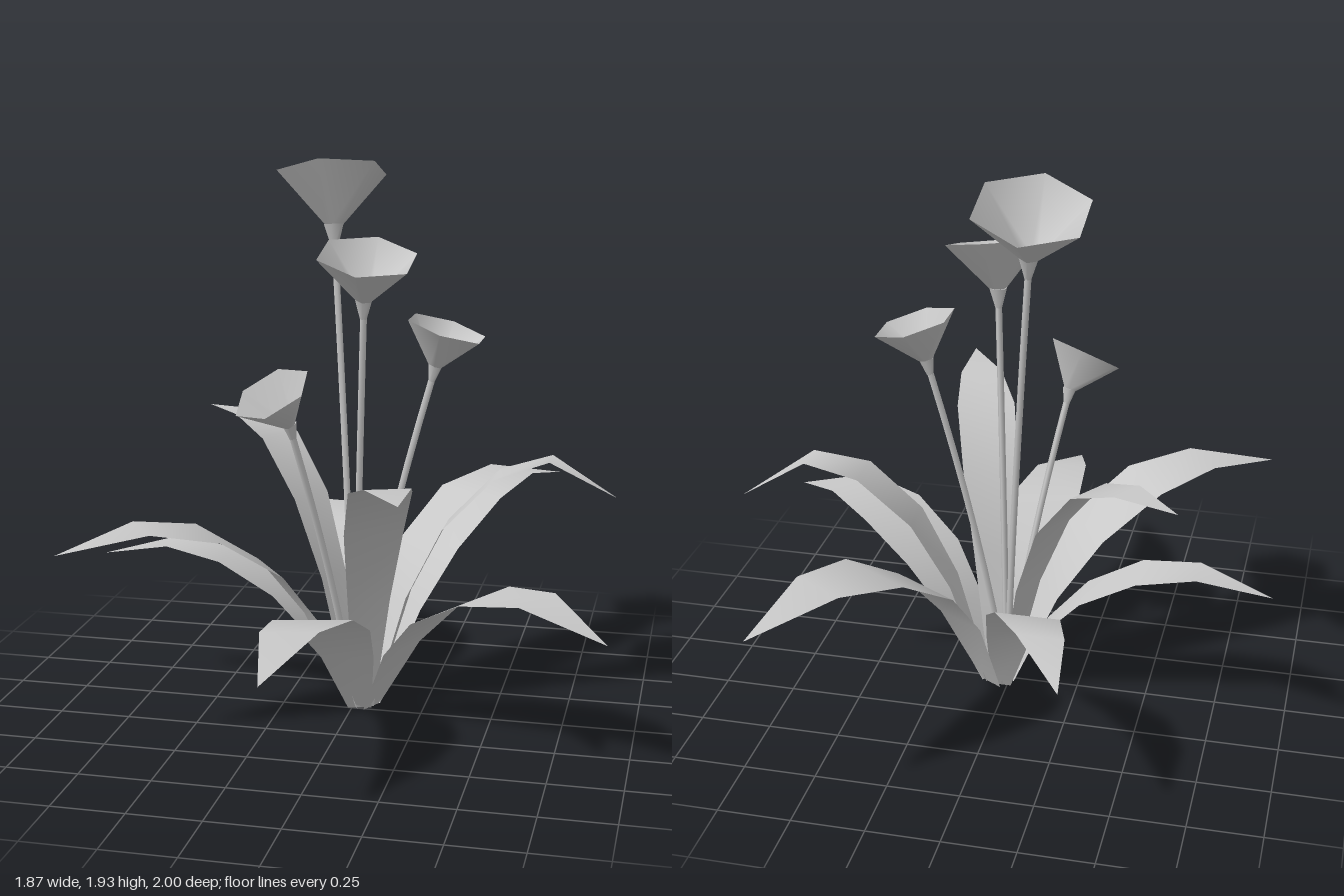
import * as THREE from 'three';

const plantGrey = new THREE.MeshStandardMaterial({ color: 0xc8c8c8, side: THREE.DoubleSide });
plantGrey.name = 'plantGrey';

const CENTRE = new THREE.Vector3(0.035, 0, -0.03);
const UP = new THREE.Vector3(0, 1, 0);

// Shared leaf shape: distance along, height (of peak) and width (of widest) per station
const ALONG = [0, 0.14, 0.29, 0.5, 0.72, 1];
const RISE = [0.01, 0.46, 0.74, 0.94, 1];
const WIDTH = [0.32, 0.7, 0.95, 1, 0.72, 0];

// Tip x, y, z; peak height; widest width; optional heading across which the blade is spread
const LEAVES = [
  { tip: [0.62, 0.65, -1.0], peak: 0.72, width: 0.28 },
  { tip: [-0.35, 0.52, -0.88], peak: 0.58, width: 0.22, heading: [0, -1] },
  { tip: [-0.65, 0.975, -0.48], peak: 0.98, width: 0.17 },
  { tip: [-0.94, 0.49, -0.08], peak: 0.555, width: 0.19, heading: [-1, 0] },
  { tip: [-0.86, 0.69, 0.61], peak: 0.75, width: 0.26 },
  { tip: [-0.07, 0.45, 1.0], peak: 0.53, width: 0.26, heading: [0.2, 0.98] },
  { tip: [0.31, 0.97, 0.77], peak: 0.965, width: 0.21 },
  { tip: [0.93, 0.47, 0.47], peak: 0.56, width: 0.28 },
  { tip: [0.9, 0.76, -0.24], peak: 0.905, width: 0.16, heading: [1, 0] },
];

// Throat of the bloom, middle of its rim, rim radius
const FLOWERS = [
  { throat: [-0.11, 1.69, -0.21], rim: [-0.13, 1.87, -0.27], radius: 0.2 },
  { throat: [0.055, 1.475, 0.065], rim: [0.075, 1.63, 0.107], radius: 0.175 },
  { throat: [0.28, 1.24, -0.04], rim: [0.32, 1.375, -0.04], radius: 0.145 },
  { throat: [-0.165, 1.07, 0.21], rim: [-0.212, 1.19, 0.268], radius: 0.14 },
];

function addMesh(parent, geometry, name) {
  const mesh = new THREE.Mesh(geometry, plantGrey);
  mesh.name = name;
  parent.add(mesh);
  return mesh;
}

// Flat arching blade, two points per station
function leafGeometry({ tip, peak, width, heading }) {
  const end = new THREE.Vector3(...tip);
  const dir = end.clone().sub(CENTRE).setY(0).normalize();
  const root = CENTRE.clone().addScaledVector(dir, 0.04);
  const across = heading ? new THREE.Vector3(heading[0], 0, heading[1]) : dir;
  const side = across.clone().normalize().cross(UP);
  const points = [];
  const index = [];
  ALONG.forEach((t, i) => {
    const mid = root.clone().lerp(end, t);
    mid.y = i < RISE.length ? RISE[i] * peak : tip[1];
    for (const s of [-0.5, 0.5]) {
      points.push(...mid.clone().addScaledVector(side, s * width * WIDTH[i]).toArray());
    }
    if (i > 0) {
      const a = 2 * i - 2;
      index.push(a, a + 1, a + 2);
      if (i < ALONG.length - 1) index.push(a + 1, a + 3, a + 2);
    }
  });
  const geometry = new THREE.BufferGeometry();
  geometry.setAttribute('position', new THREE.Float32BufferAttribute(points, 3));
  geometry.setIndex(index);
  geometry.computeVertexNormals();
  return geometry;
}

// Six-sided open bloom on a small calyx and a thin bowed stem
function createFlower({ throat, rim, radius }) {
  const flower = new THREE.Group();
  flower.name = 'flower';
  const base = new THREE.Vector3(...throat);
  const axis = new THREE.Vector3(...rim).sub(base);
  const depth = axis.length();
  axis.normalize();

  const head = new THREE.Group();
  head.name = 'flowerHead';
  head.position.copy(base);
  head.quaternion.setFromUnitVectors(UP, axis);
  flower.add(head);
  const bloom = new THREE.CylinderGeometry(radius, radius * 0.14, depth, 6, 1, true);
  addMesh(head, bloom.translate(0, depth / 2, 0), 'bloom');

  // Calyx follows the stem direction more than the bloom's tilt
  const foot = new THREE.Vector3(0.005, 0, -0.03);
  const calyxAxis = base.clone().sub(foot).normalize();
  const length = radius * 0.4;
  const calyx = addMesh(flower, new THREE.CylinderGeometry(radius * 0.18, 0.012, length, 6), 'calyx');
  calyx.position.copy(base).addScaledVector(calyxAxis, -length / 2 + 0.008);
  calyx.quaternion.setFromUnitVectors(UP, calyxAxis);

  const top = base.clone().addScaledVector(calyxAxis, -length + 0.012);
  const bend = foot.clone().lerp(top, 0.3).setY(top.y * 0.45);
  const path = new THREE.QuadraticBezierCurve3(foot, bend, top);
  addMesh(flower, new THREE.TubeGeometry(path, 8, 0.012, 5), 'stem');
  return flower;
}

export function createModel() {
  const plant = new THREE.Group();
  plant.name = 'floweringPlant';

  const leaves = new THREE.Group();
  leaves.name = 'leaves';
  LEAVES.forEach((leaf) => addMesh(leaves, leafGeometry(leaf), 'leaf'));
  plant.add(leaves);

  const flowers = new THREE.Group();
  flowers.name = 'flowers';
  FLOWERS.forEach((flower) => flowers.add(createFlower(flower)));
  plant.add(flowers);
  return plant;
}
